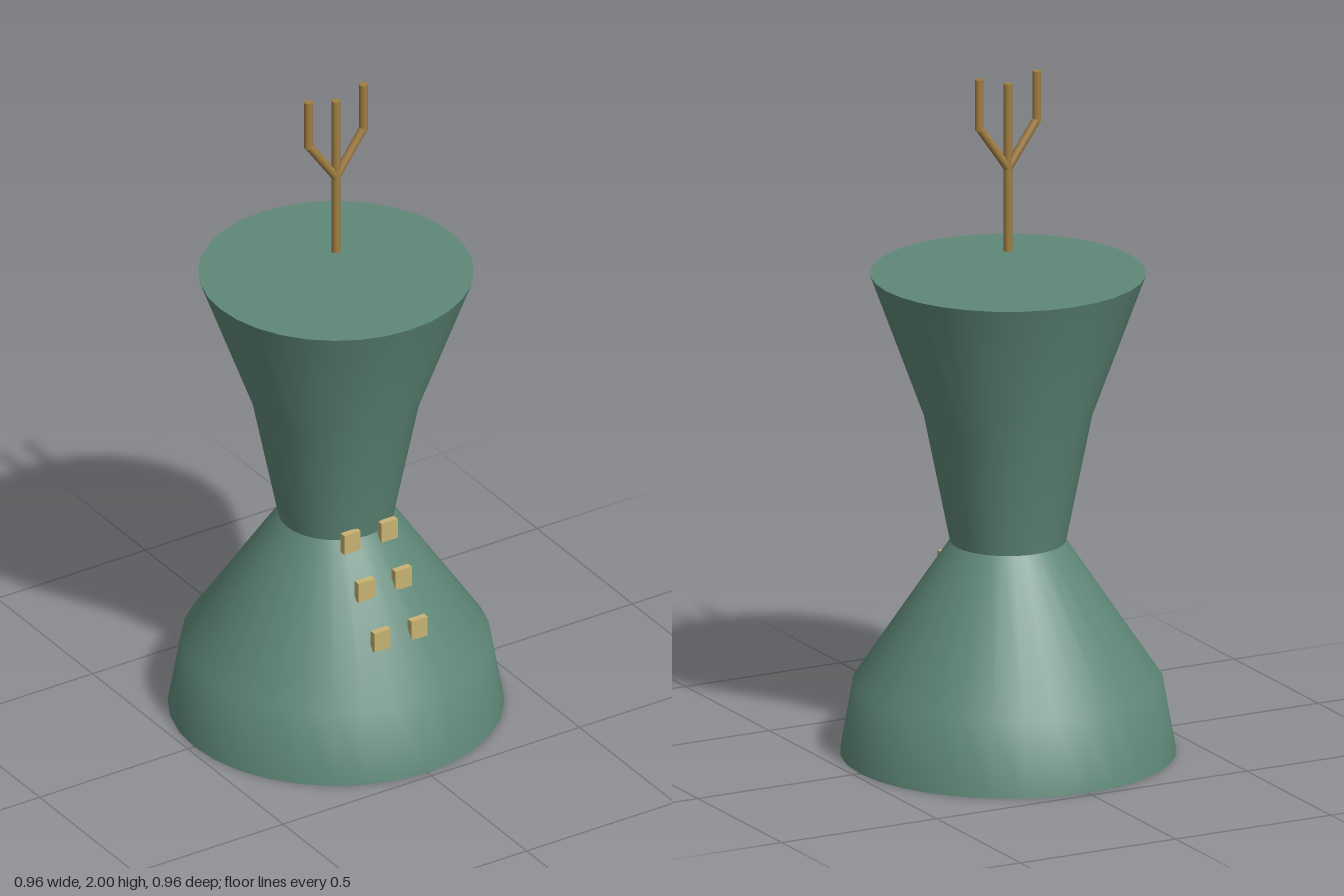
import * as THREE from 'three';

const SIDES = 32;

export function createModel() {
  const model = new THREE.Group();
  model.name = 'model';

  const green = new THREE.MeshStandardMaterial({ color: 0x5f8878 });
  green.name = 'sage green';
  const bronze = new THREE.MeshStandardMaterial({ color: 0xa07d42 });
  bronze.name = 'bronze';
  const gold = new THREE.MeshStandardMaterial({ color: 0xc8b272 });
  gold.name = 'pale gold';

  const add = (parent, name, geometry, material, x = 0, y = 0, z = 0) => {
    const mesh = new THREE.Mesh(geometry, material);
    mesh.name = name;
    mesh.position.set(x, y, z);
    parent.add(mesh);
    return mesh;
  };

  // Body: flared skirt and funnel-shaped torso meeting at a sharp waist
  const turned = (points) =>
    new THREE.LatheGeometry(points.map(([r, y]) => new THREE.Vector2(r, y)), SIDES);
  add(model, 'skirt', turned([[0.478, 0], [0.44, 0.215], [0.165, 0.625]]), green);
  add(model, 'torso', turned([[0.165, 0.625], [0.24, 1.0], [0.392, 1.415]]), green);

  // Flat discs closing both ends
  const disc = (radius, turn) => new THREE.CircleGeometry(radius, SIDES).rotateX(turn);
  add(model, 'topDisc', disc(0.392, -Math.PI / 2), green, 0, 1.415);
  add(model, 'bottomDisc', disc(0.478, Math.PI / 2), green);

  // Two columns of buttons stepping down the front
  const buttons = new THREE.Group();
  buttons.name = 'buttons';
  model.add(buttons);
  const button = new THREE.BoxGeometry(0.055, 0.062, 0.02);
  for (const [y, z] of [[0.63, 0.174], [0.509, 0.248], [0.386, 0.331]]) {
    for (const side of [-1, 1]) add(buttons, 'button', button, gold, side * 0.0625, y, z);
  }

  // Three-pronged fork floating above the top
  const fork = new THREE.Group();
  fork.name = 'fork';
  model.add(fork);
  const rod = (name, from, to) => {
    const a = new THREE.Vector3(...from);
    const b = new THREE.Vector3(...to);
    const mesh = add(fork, name, new THREE.CylinderGeometry(0.0125, 0.0125, a.distanceTo(b), 12), bronze);
    mesh.position.lerpVectors(a, b, 0.5);
    mesh.quaternion.setFromUnitVectors(new THREE.Vector3(0, 1, 0), b.sub(a).normalize());
  };
  rod('stem', [0, 1.48, 0], [0, 1.975, 0]);
  for (const side of [-1, 1]) {
    rod('branch', [0, 1.725, 0], [side * 0.093, 1.857, 0]);
    rod('prong', [side * 0.093, 1.85, 0], [side * 0.093, 2, 0]);
  }

  return model;
}
